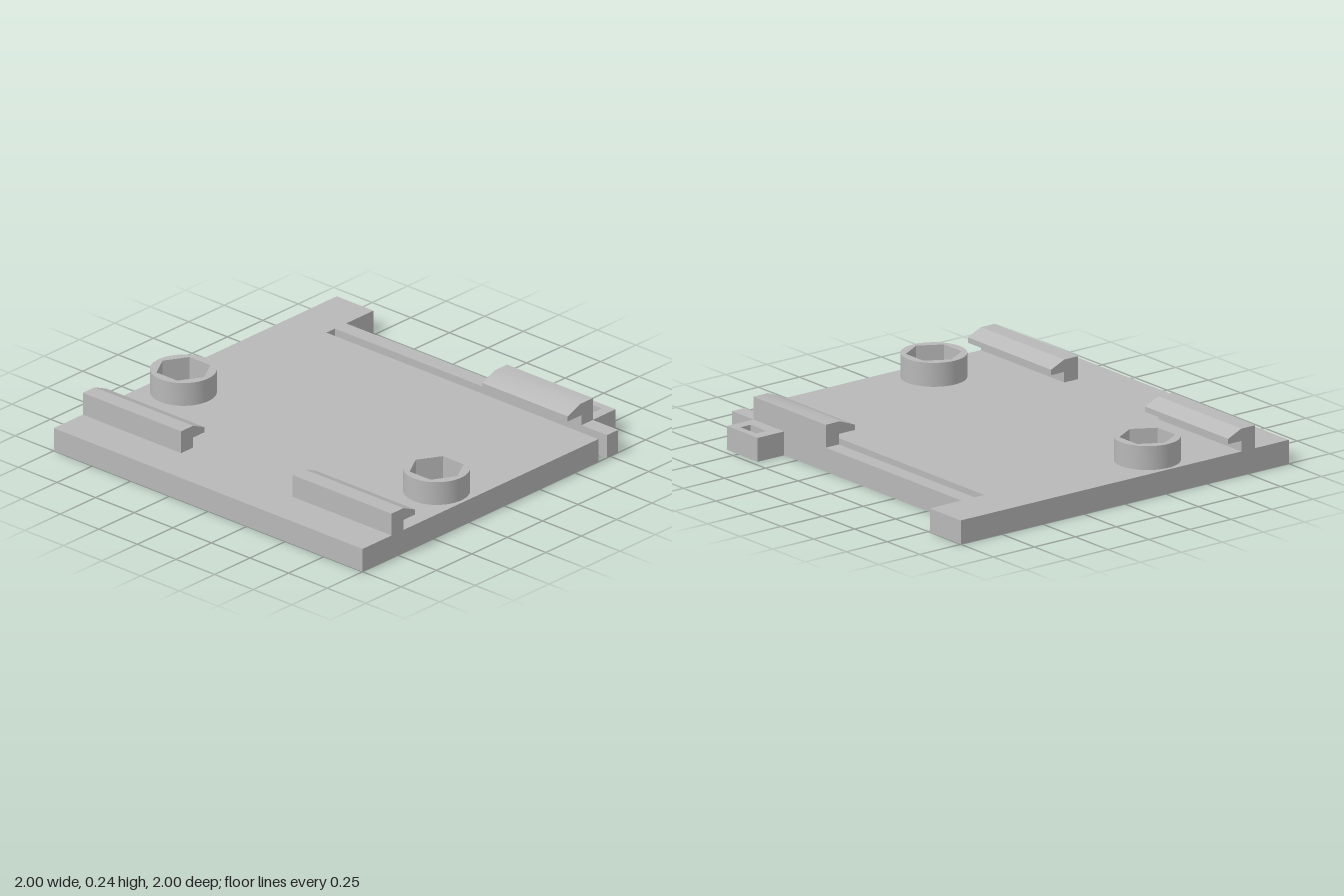
import * as THREE from 'three';
import { toCreasedNormals } from 'three/addons/utils/BufferGeometryUtils.js';

const T = 0.12; // plate thickness

const grey = new THREE.MeshStandardMaterial({ color: 0xb8b8b8 });
grey.name = 'plain grey';

// Points are given as [x, z] in plan
const toPoints = (pts) => pts.map(([x, z]) => new THREE.Vector2(x, -z));

const circle = (x, z, r) =>
  new THREE.Path().absarc(x, -z, r, 0, Math.PI * 2, true);

const hexagon = (x, z, r) =>
  new THREE.Path(toPoints(Array.from({ length: 6 }, (_, i) => {
    const a = (i * Math.PI) / 3;
    return [x + r * Math.cos(a), z + r * Math.sin(a)];
  })));

// Extrude a plan shape upwards from y0
function slab(name, shape, y0, height) {
  const geo = new THREE.ExtrudeGeometry(shape, { depth: height, bevelEnabled: false, curveSegments: 32 });
  geo.rotateX(-Math.PI / 2);
  geo.translate(0, y0, 0);
  const mesh = new THREE.Mesh(toCreasedNormals(geo, 0.4), grey);
  mesh.name = name;
  return mesh;
}

// Extrude a [z, y] section along x from x0 to x1
function bar(name, section, x0, x1, crease) {
  const shape = new THREE.Shape(section.map(([z, y]) => new THREE.Vector2(z, y)));
  const geo = new THREE.ExtrudeGeometry(shape, { depth: x1 - x0, bevelEnabled: false });
  geo.rotateY(-Math.PI / 2);
  geo.translate(x1, 0, 0);
  const mesh = new THREE.Mesh(toCreasedNormals(geo, crease), grey);
  mesh.name = name;
  return mesh;
}

export function createModel() {
  const model = new THREE.Group();
  model.name = 'mountingPlate';

  const bossX = 0.82, bossZ = 0.28;

  // Base plate with corner lug, spring arm and release tab
  const plate = new THREE.Shape(toPoints([
    [-1, 1], [1, 1], [1, -0.667], [-0.762, -0.667], [-0.762, -0.727],
    [1, -0.727], [1, -0.807], [0.835, -0.807], [0.835, -0.968],
    [0.6, -0.968], [0.6, -0.807], [-0.762, -0.807], [-0.762, -1], [-1, -1],
  ]));
  plate.holes.push(new THREE.Path(toPoints([
    [0.658, -0.93], [0.78, -0.93], [0.78, -0.868], [0.658, -0.868],
  ])));
  for (const s of [-1, 1]) plate.holes.push(circle(s * bossX, bossZ, 0.07));
  model.add(slab('basePlate', plate, 0, T));

  // Round screw bosses with hexagonal nut pockets
  for (const s of [-1, 1]) {
    const boss = new THREE.Shape().absarc(s * bossX, -bossZ, 0.16, 0, Math.PI * 2, false);
    boss.holes.push(hexagon(s * bossX, bossZ, 0.135));
    model.add(slab(s > 0 ? 'leftBoss' : 'rightBoss', boss, T, 0.12));
  }

  // Fixed rail hooks at the front
  const hook = [
    [0.795, T], [0.795, 0.235], [0.71, 0.235], [0.63, 0.2],
    [0.63, 0.173], [0.71, 0.173], [0.71, T],
  ];
  model.add(bar('rightHook', hook, -1, -0.363, 0.1));
  model.add(bar('leftHook', hook, 0.36, 1, 0.1));

  // Sprung latch on the arm at the back, with a softly shaded top
  const latch = [
    [-0.807, T], [-0.807, 0.235], [-0.72, 0.235], [-0.63, 0.2],
    [-0.63, 0.173], [-0.727, 0.173], [-0.727, T],
  ];
  model.add(bar('springLatch', latch, 0.28, 0.835, 0.5));

  return model;
}
